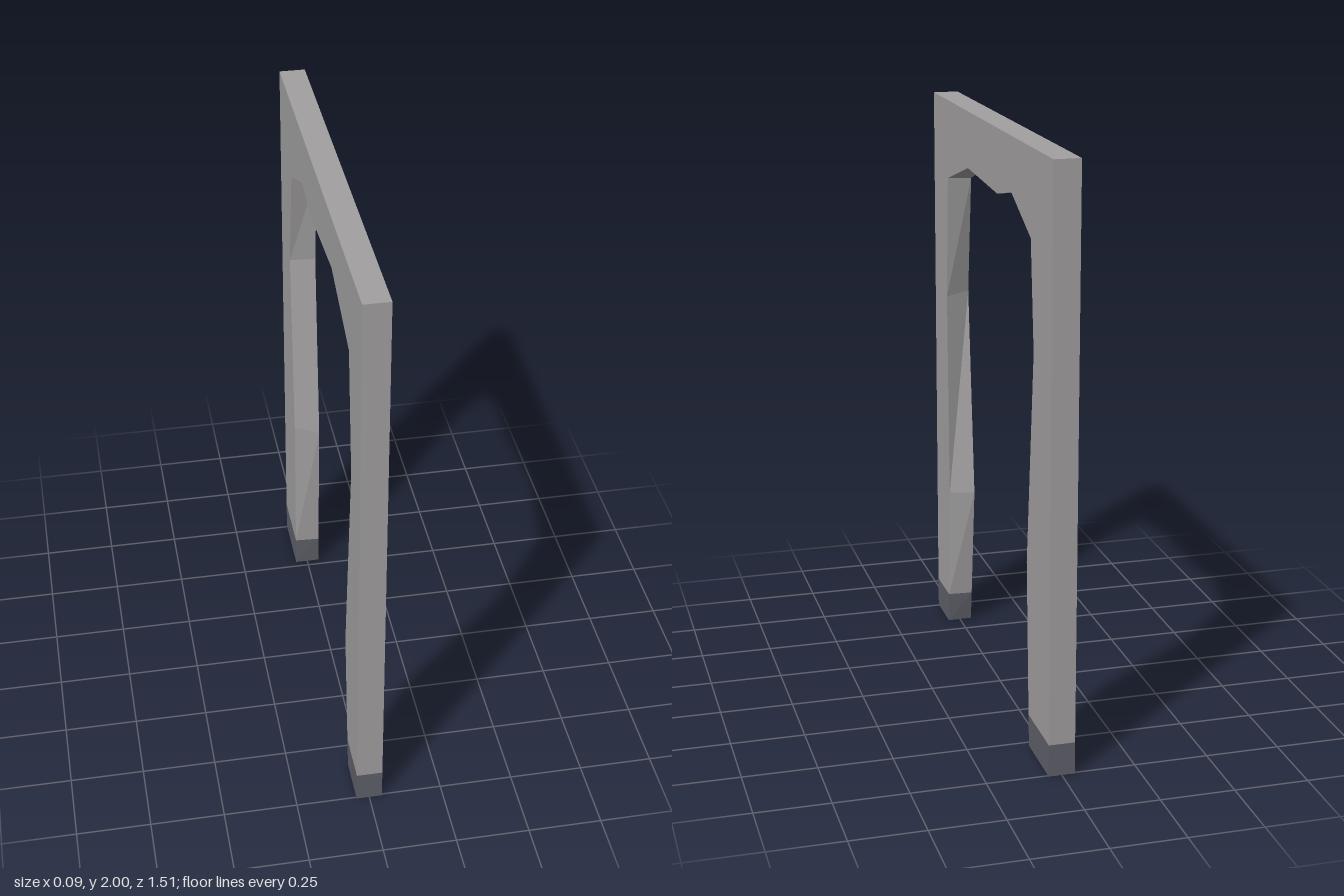
import * as THREE from 'three';

const HALF_DEPTH = 0.044; // half thickness along x
const HALF_SPAN = 0.756;  // half width along z
const HEIGHT = 2;
const BAND = 0.11;        // top of the dark feet

// Inner edge of the opening, from the front leg over the top to the back leg.
// Each row: z, y on the left (+x) face, then z, y on the right (-x) face.
const FRONT_FOOT = [[0.59, 0, 0.592, 0], [0.584, BAND, 0.579, BAND]];
const BACK_FOOT = [[-0.519, BAND, -0.524, BAND], [-0.525, 0, -0.525, 0]];
const OPENING = [
  [0.56, 0.53, 0.53, 0.53],
  [0.58, 1.28, 0.61, 1.29],
  [0.553, 1.72, 0.56, 1.715],
  [0.26, 1.805, 0.262, 1.825],
  [-0.125, 1.785, -0.125, 1.79],
  [-0.295, 1.82, -0.295, 1.82],
  [-0.52, 1.717, -0.52, 1.717],
  [-0.558, 1.36, -0.58, 1.35],
  [-0.49, 0.64, -0.517, 0.66],
];

// A point of the straight outer edge, the same on both faces
const outer = (z, y) => [z, y, z, y];

// Extrude the left-face outline through the slab, then move the
// right-face corners to their own outline.
function slab(rows, material, name) {
  const shape = new THREE.Shape(rows.map(([z, y]) => new THREE.Vector2(-z, y)));
  const geometry = new THREE.ExtrudeGeometry(shape, { depth: 2 * HALF_DEPTH, bevelEnabled: false });
  const pos = geometry.attributes.position;
  for (let i = 0; i < pos.count; i++) {
    if (pos.getZ(i) > HALF_DEPTH) continue;
    const row = rows.find(([z, y]) =>
      Math.abs(pos.getX(i) + z) < 1e-4 && Math.abs(pos.getY(i) - y) < 1e-4);
    if (row) pos.setXY(i, -row[2], row[3]);
  }
  geometry.translate(0, 0, -HALF_DEPTH);
  geometry.rotateY(Math.PI / 2);
  geometry.computeVertexNormals();
  const mesh = new THREE.Mesh(geometry, material);
  mesh.name = name;
  return mesh;
}

export function createModel() {
  const stone = new THREE.MeshStandardMaterial({ color: 0xa19f9f });
  stone.name = 'stone grey';
  const base = new THREE.MeshStandardMaterial({ color: 0x5f5f69 });
  base.name = 'dark slate';

  const model = new THREE.Group();
  model.name = 'roughArchway';

  // Legs and lintel in one piece
  model.add(slab([
    FRONT_FOOT[1], ...OPENING, BACK_FOOT[0],
    outer(-HALF_SPAN, BAND), outer(-HALF_SPAN, HEIGHT),
    outer(HALF_SPAN, HEIGHT), outer(HALF_SPAN, BAND),
  ], stone, 'arch'));

  // Dark feet
  model.add(slab([
    ...FRONT_FOOT, outer(HALF_SPAN, BAND), outer(HALF_SPAN, 0),
  ], base, 'frontFoot'));
  model.add(slab([
    ...BACK_FOOT, outer(-HALF_SPAN, 0), outer(-HALF_SPAN, BAND),
  ], base, 'backFoot'));

  return model;
}
